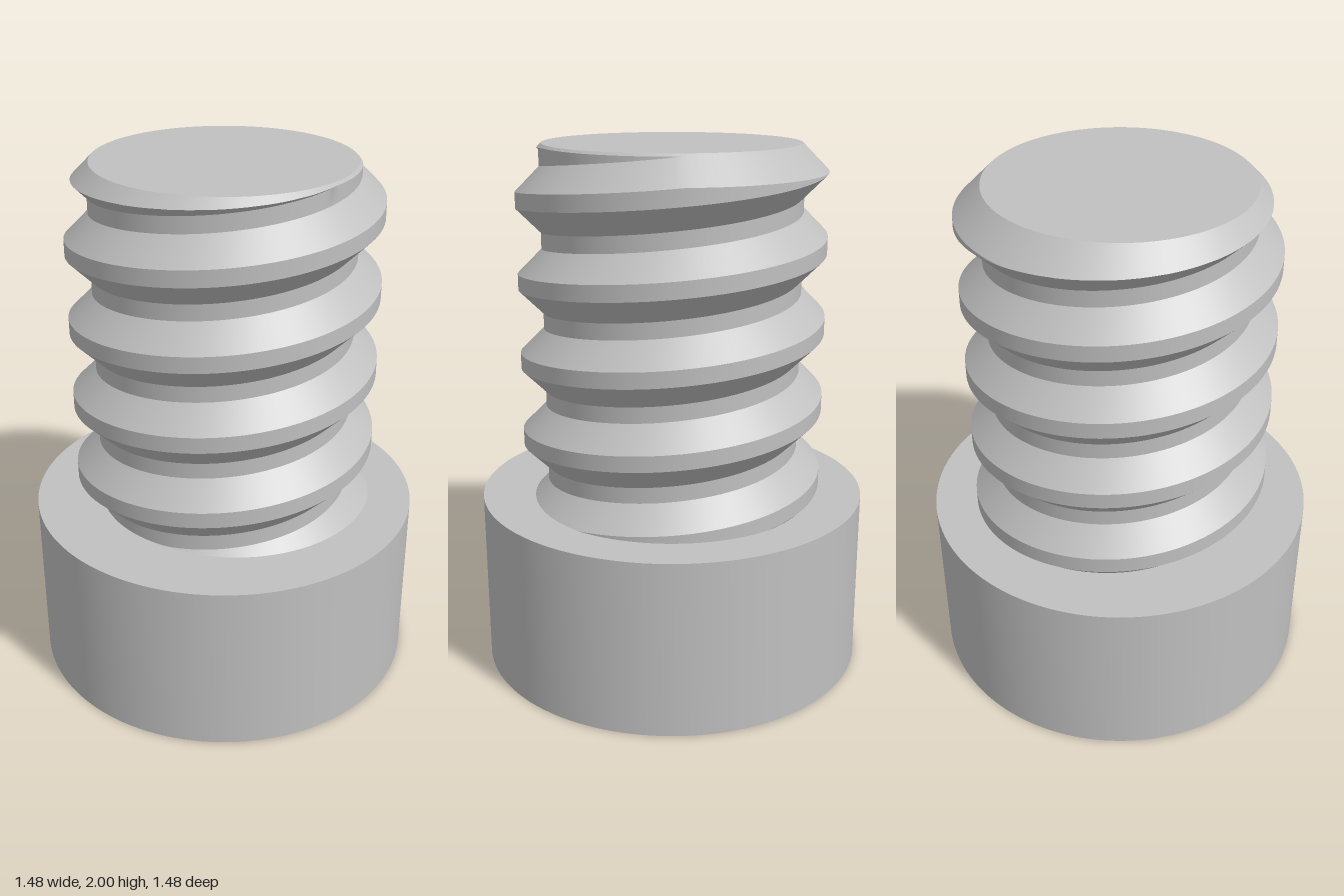
import * as THREE from 'three';
import { toCreasedNormals } from 'three/addons/utils/BufferGeometryUtils.js';

const HEAD_R = 0.74, HEAD_H = 0.667, HEX_R = 0.445, SOCKET_DEPTH = 0.5;
const TOP = 2, TIP_R = 0.475, ROOT_R = 0.485, CREST_R = 0.575;
const PITCH = 0.3, FLAT = 0.06, FLANK = 0.09;
const CREST_Y = 1.825; // height of a crest centre on the +x side

// Thread radius at a height measured from a crest centre
function threadRadius(d) {
  const u = Math.abs(d - PITCH * Math.round(d / PITCH));
  const t = THREE.MathUtils.clamp((u - FLAT / 2) / FLANK, 0, 1);
  return THREE.MathUtils.lerp(CREST_R, ROOT_R, t);
}

// Threaded shank: helical rows, trimmed by the head below and the 45 degree tip chamfer above
function threadGeometry(segments = 160) {
  const breaks = [-FLAT / 2 - FLANK, -FLAT / 2, FLAT / 2, FLAT / 2 + FLANK];
  const bottom = HEAD_H - 0.01;
  const columns = [];
  for (let i = 0; i <= segments; i++) {
    const a = (i / segments) * Math.PI * 2;
    const crest = CREST_Y - (PITCH * i) / segments;
    // first height at which the thread meets the chamfer cone
    let end = 1.9;
    while (end < TOP - 0.01 && threadRadius(end - crest) <= TIP_R + TOP - end) end += 0.0005;
    const point = (r, y) => new THREE.Vector3(r * Math.cos(a), y, r * Math.sin(a));
    const column = [];
    for (let k = -4; k <= 2; k++) {
      for (const b of breaks) {
        const y = THREE.MathUtils.clamp(crest + k * PITCH + b, bottom, end);
        column.push(point(Math.min(threadRadius(y - crest), TIP_R + TOP - y), y));
      }
    }
    column.push(point(TIP_R, TOP), point(0, TOP));
    columns.push(column);
  }

  const positions = [];
  const triangle = (a, b, c) => {
    const area = new THREE.Triangle(a, b, c).getArea();
    if (area > 1e-9) for (const p of [a, b, c]) positions.push(p.x, p.y, p.z);
  };
  for (let i = 0; i < segments; i++) {
    const p = columns[i], q = columns[i + 1];
    for (let j = 0; j < p.length - 1; j++) {
      triangle(p[j], p[j + 1], q[j]);
      triangle(q[j], p[j + 1], q[j + 1]);
    }
  }
  const geometry = new THREE.BufferGeometry();
  geometry.setAttribute('position', new THREE.Float32BufferAttribute(positions, 3));
  return toCreasedNormals(geometry, 0.4);
}

// Round head with a hexagonal hole
function headGeometry() {
  const shape = new THREE.Shape().absarc(0, 0, HEAD_R, 0, Math.PI * 2, false);
  const corners = [];
  for (let i = 0; i < 6; i++) {
    const a = (-i * Math.PI) / 3;
    corners.push(new THREE.Vector2(HEX_R * Math.cos(a), HEX_R * Math.sin(a)));
  }
  shape.holes.push(new THREE.Path(corners));
  const geometry = new THREE.ExtrudeGeometry(shape, { depth: HEAD_H, bevelEnabled: false, curveSegments: 64 });
  geometry.rotateX(-Math.PI / 2);
  return toCreasedNormals(geometry, 0.4);
}

export function createModel() {
  const steel = new THREE.MeshStandardMaterial({ color: 0xc0c0c0 });
  steel.name = 'steel grey';

  const group = new THREE.Group();
  group.name = 'socketHeadBolt';
  const add = (name, geometry) => {
    const mesh = new THREE.Mesh(geometry, steel);
    mesh.name = name;
    group.add(mesh);
    return mesh;
  };

  add('head', headGeometry());
  add('threadedShank', threadGeometry());

  // Floor of the hex socket, facing down
  const floor = add('socketFloor', new THREE.CircleGeometry(HEX_R, 6));
  floor.rotation.x = Math.PI / 2;
  floor.position.y = SOCKET_DEPTH;

  return group;
}
